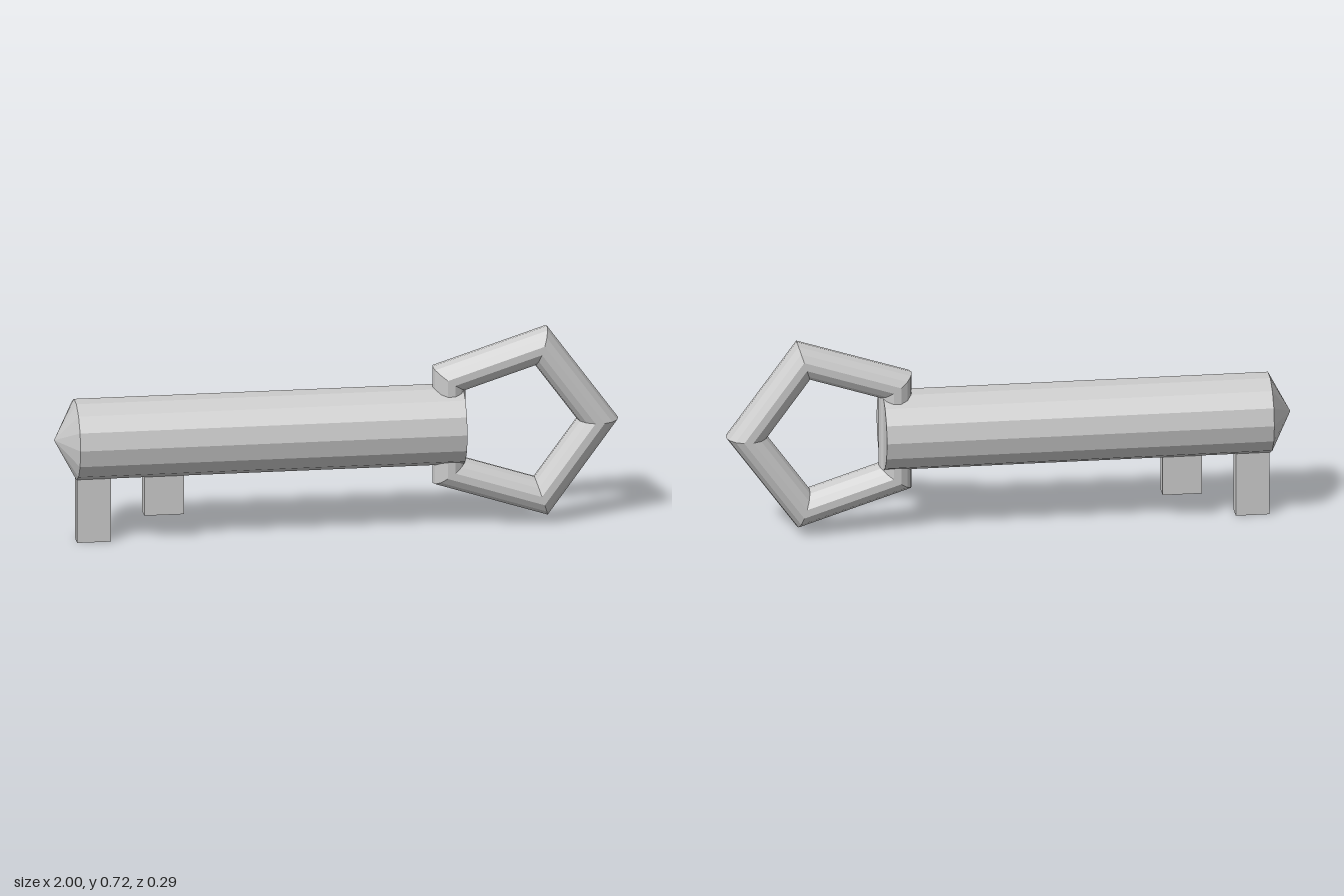
import * as THREE from 'three';

export function createModel() {
  const model = new THREE.Group();
  model.name = 'key';
  const material = new THREE.MeshStandardMaterial({ color: 0xcccccc, flatShading: true });
  const sides = 14;
  const axisY = 0.372;
  const shaftRadius = 0.143;
  const shaftLeft = -0.925;
  const shaftRight = 0.447;

  function add(name, geometry, x, y) {
    const mesh = new THREE.Mesh(geometry, material);
    mesh.name = name;
    mesh.position.set(x, y, 0);
    model.add(mesh);
  }

  // Faceted shaft lying along x
  const shaft = new THREE.CylinderGeometry(shaftRadius, shaftRadius, shaftRight - shaftLeft, sides);
  add('shaft', shaft.rotateZ(Math.PI / 2), (shaftLeft + shaftRight) / 2, axisY);

  // Shallow pointed tip, open where it meets the shaft
  const tipLength = 1 + shaftLeft;
  const tip = new THREE.ConeGeometry(shaftRadius, tipLength, sides, 1, true);
  add('tip', tip.rotateZ(Math.PI / 2), shaftLeft - tipLength / 2, axisY);

  // Five-sided ring handle; its straight left side runs through the shaft end
  add('handle', new THREE.TorusGeometry(0.291, 0.073, sides, 5), 0.636, axisY);

  // Two teeth, sunk into the underside of the shaft
  const toothTop = 0.27;
  for (const [name, left, right, bottom] of [
    ['longTooth', -0.922, -0.803, 0],
    ['shortTooth', -0.684, -0.544, 0.09],
  ]) {
    const tooth = new THREE.BoxGeometry(right - left, toothTop - bottom, 0.063);
    add(name, tooth, (left + right) / 2, (toothTop + bottom) / 2);
  }

  return model;
}
